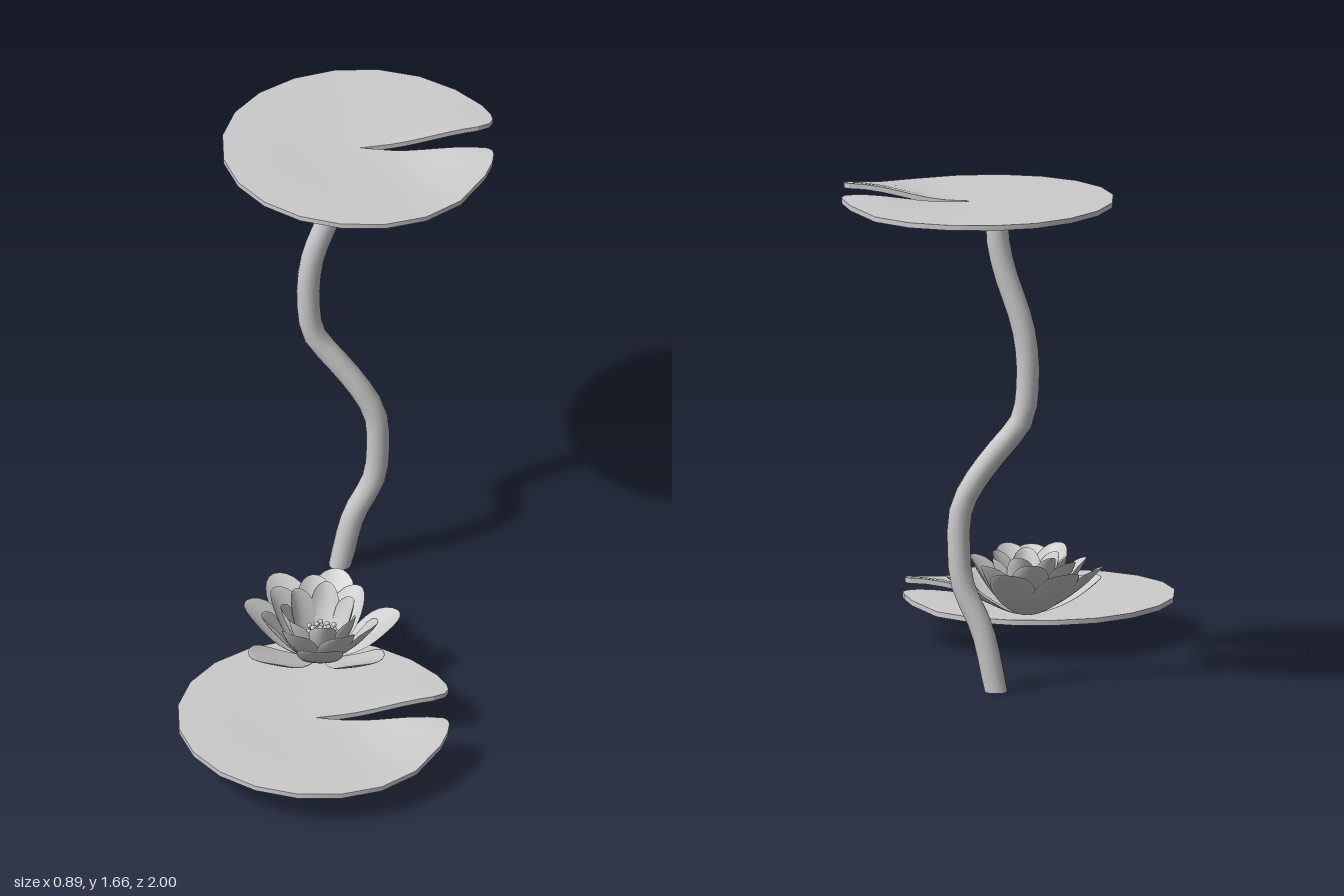
import * as THREE from 'three';
import { mergeGeometries } from 'three/addons/utils/BufferGeometryUtils.js';

const material = new THREE.MeshStandardMaterial({ color: 0xcccccc });
const { degToRad, smoothstep, lerp } = THREE.MathUtils;

function addMesh(parent, name, geometry) {
  const mesh = new THREE.Mesh(geometry, material);
  mesh.name = name;
  parent.add(mesh);
  return mesh;
}

// Moves every vertex of a geometry by a rule (x, y, z) -> [x, y, z]
function reshape(geometry, rule) {
  const p = geometry.attributes.position;
  for (let i = 0; i < p.count; i++) p.setXYZ(i, ...rule(p.getX(i), p.getY(i), p.getZ(i)));
  geometry.computeVertexNormals();
  return geometry;
}

// Grid surface from a rule of u and v, both 0 to 1
function sheet(nu, nv, rule) {
  return reshape(new THREE.PlaneGeometry(1, 1, nu, nv), (x, y) => rule(x + 0.5, y + 0.5));
}

// Lily pad: notched disc with rounded, lifted lobes beside the notch
function padGeometry() {
  const thickness = 0.017;
  const angles = [1, 2.5, 5, 10];
  for (let a = 18; a <= 324; a += 18) angles.push(a);
  angles.push(333, 337, 340, 341.5);
  const n = angles.length - 1;
  const rounded = { 0: 0.42, 1: 0.437, 2: 0.445, [n - 2]: 0.447, [n - 1]: 0.43, [n]: 0.39 };

  const point = (u, v, level) => {
    const i = Math.round(u * n);
    const deg = angles[i], a = degToRad(deg);
    const r = v * (rounded[i] ?? 0.45);
    const lift = 0.043 * Math.exp(-((deg / 25) ** 2))
      + 0.032 * Math.exp(-(((341 - deg) / 24) ** 2))
      + 0.012 * Math.max(0, Math.cos(degToRad(deg - 140)));
    return [r * Math.cos(a), lift * smoothstep(r, 0.08, 0.4) + level * thickness, r * Math.sin(a)];
  };
  return mergeGeometries([
    sheet(n, 8, (u, v) => point(u, v, 1)),
    sheet(n, 8, (u, v) => point(1 - u, v, 0)),
    sheet(n, 1, (u, v) => point(u, 1, 1 - v)),
    sheet(8, 1, (u, v) => point(0, u, 1 - v)),
    sheet(8, 1, (u, v) => point(1, u, v)),
  ]);
}

// Stem: swaying tube cut level at both ends
function stemGeometry(top) {
  const sway = [[-0.06, 0], [-0.015, 0.2], [0.05, 0.35], [0.063, 0.47], [0.055, 0.6], [0.005, 0.7],
    [-0.07, 0.8], [-0.145, 0.9], [-0.165, 1.05], [-0.15, 1.2], [-0.085, 1.4], [-0.065, 1.5], [-0.065, top]];
  const z = -0.513, radius = 0.038, sides = 16, segments = 28;
  const curve = new THREE.CatmullRomCurve3(sway.map(([x, y]) => new THREE.Vector3(x, y, z)));
  const tube = new THREE.TubeGeometry(curve, segments, radius, sides);
  const p = tube.attributes.position;
  for (let i = 0; i <= sides; i++) {
    p.setY(i, 0);
    p.setY(segments * (sides + 1) + i, top);
  }
  const cap = (x, y, turn) => new THREE.CircleGeometry(radius, sides).rotateX(turn).translate(x, y, z);
  return mergeGeometries([tube, cap(-0.06, 0, Math.PI / 2), cap(-0.065, top, -Math.PI / 2)]);
}

// Petal: flattened, tapered sphere leaning outward along +x with cupped edges
function petalGeometry(reach, height, halfWidth, rootRadius) {
  return reshape(new THREE.SphereGeometry(1, 20, 14), (x, y, z) => {
    const s = (y + 1) / 2;
    const across = x * (0.6 + 0.55 * s);
    const cup = 0.035 * across * across * s;
    return [
      lerp(rootRadius, reach, s) + 0.012 * Math.sin(Math.PI * s) - cup + z * 0.004,
      height * s ** 1.1 + cup * 0.4 - z * 0.004,
      -across * halfWidth,
    ];
  });
}

function createFlower() {
  const flower = new THREE.Group();
  flower.name = 'flower';
  // Per layer: root radius, half width, then [angle, reach, height] of each petal
  const layers = [
    ['outerPetal', 0.03, 0.082, [[85, 0.26, 0.17], [132, 0.27, 0.17], [173, 0.255, 0.165],
      [222, 0.275, 0.1], [277, 0.25, 0.185], [322, 0.275, 0.115], [20, 0.265, 0.13]]],
    ['middlePetal', 0.025, 0.068, [[55, 0.19, 0.18], [105, 0.19, 0.19], [152, 0.19, 0.19],
      [198, 0.195, 0.18], [248, 0.2, 0.205], [300, 0.2, 0.2], [345, 0.2, 0.18]]],
    ['innerPetal', 0.02, 0.052, [[35, 0.12, 0.19], [88, 0.13, 0.205], [140, 0.125, 0.2],
      [185, 0.13, 0.19], [230, 0.125, 0.19], [282, 0.125, 0.195], [335, 0.13, 0.195]]],
  ];
  for (const [name, root, halfWidth, petals] of layers) {
    for (const [angle, reach, height] of petals) {
      addMesh(flower, name, petalGeometry(reach, height, halfWidth, root)).rotation.y = degToRad(angle);
    }
  }

  // Stamens: thin filaments with round heads in a spiral cluster
  const filament = new THREE.CylinderGeometry(0.003, 0.003, 0.1, 6).translate(0, 0.05, 0);
  const head = new THREE.SphereGeometry(0.009, 10, 6).translate(0, 0.1, 0);
  const stamen = mergeGeometries([filament, head]);
  for (let i = 0; i < 19; i++) {
    const a = i * 2.4, r = 0.013 * Math.sqrt(i);
    const mesh = addMesh(flower, 'stamen', stamen);
    mesh.position.set(r * Math.cos(a), 0.01, r * Math.sin(a));
    mesh.scale.y = 1 - r * 2;
  }
  return flower;
}

export function createModel() {
  const model = new THREE.Group();
  model.name = 'waterLily';
  const pad = padGeometry();
  addMesh(model, 'upperPad', pad).position.set(0, 1.605, -0.55);
  addMesh(model, 'lowerPad', pad).position.set(0, 0.108, 0.545);
  addMesh(model, 'stem', stemGeometry(1.606));
  const flower = createFlower();
  flower.position.set(-0.03, 0.13, 0.2);
  model.add(flower);
  return model;
}
